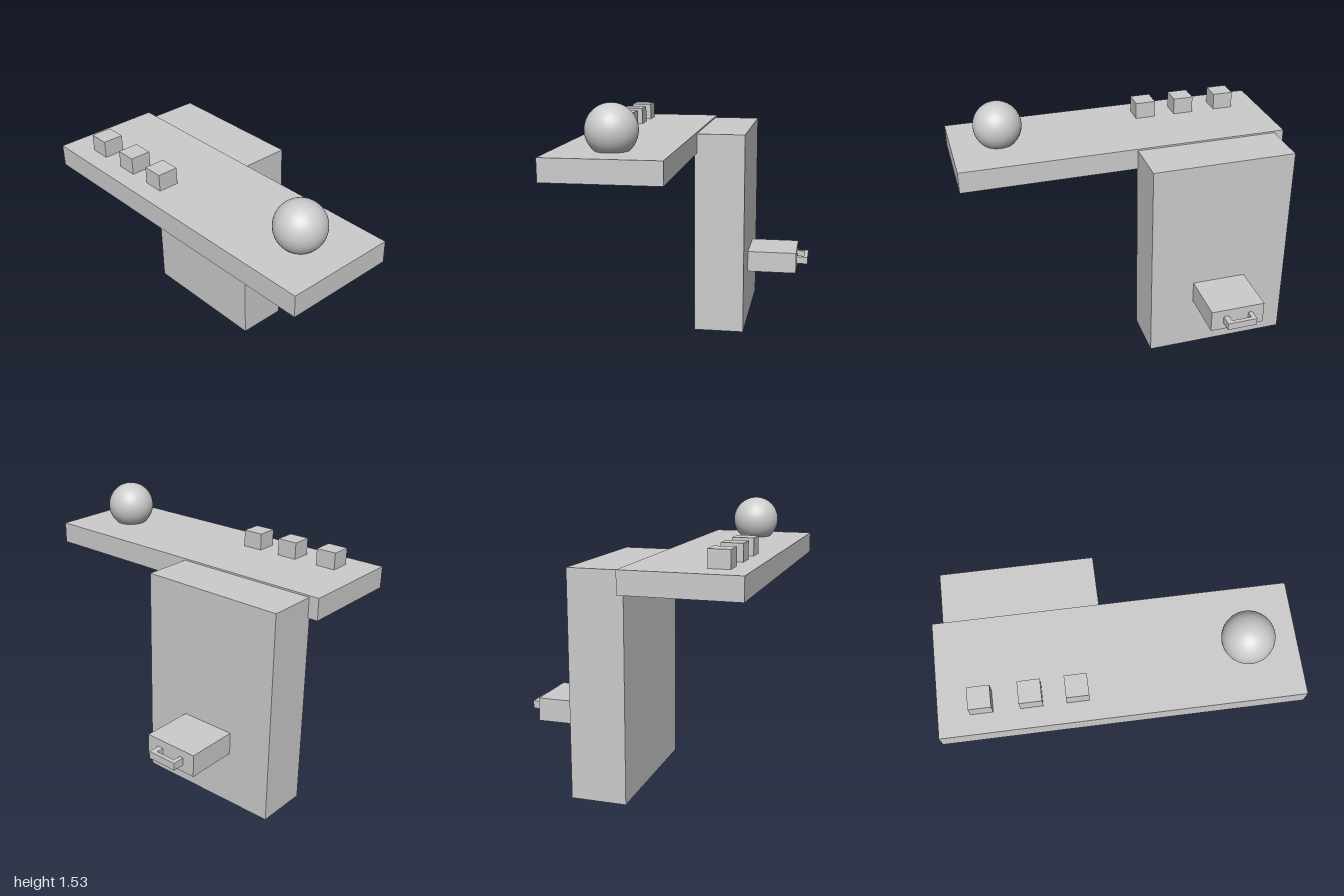
import * as THREE from 'three';

export function createModel() {
  const model = new THREE.Group();
  const material = new THREE.MeshStandardMaterial({ color: 0xcccccc });

  const add = (name, geometry, parent = model) => {
    const mesh = new THREE.Mesh(geometry, material);
    mesh.name = name;
    parent.add(mesh);
    return mesh;
  };

  // Box given by its extents along each axis
  const box = (name, [x0, x1], [y0, y1], [z0, z1], parent) =>
    add(name, new THREE.BoxGeometry(x1 - x0, y1 - y0, z1 - z0), parent)
      .position.set((x0 + x1) / 2, (y0 + y1) / 2, (z0 + z1) / 2);

  // Counter slab and the upright cabinet behind it
  box('counterTop', [-1, 1], [1.15, 1.28], [0.015, 0.673]);
  box('cabinet', [-0.94, -0.062], [0, 1.27], [-0.283, 0.03]);

  // Pulled-out drawer on the back of the cabinet
  const drawer = new THREE.Group();
  drawer.name = 'drawer';
  model.add(drawer);
  box('drawerBody', [-0.67, -0.335], [0.325, 0.46], [-0.6, -0.283], drawer);

  // U-shaped handle: two posts and a grip bar
  const handleY = [0.37, 0.415];
  box('handleGrip', [-0.596, -0.412], handleY, [-0.673, -0.648], drawer);
  for (const post of [[-0.596, -0.57], [-0.446, -0.412]]) {
    box('handlePost', post, handleY, [-0.648, -0.6], drawer);
  }

  // Row of small blocks on the counter
  for (const x of [-0.762, -0.492, -0.24]) {
    box('block', [x - 0.062, x + 0.062], [1.257, 1.381], [0.437, 0.561]);
  }

  // Ball resting slightly sunk into the counter
  add('ball', new THREE.SphereGeometry(0.145, 48, 32)).position.set(0.713, 1.39, 0.35);

  return model;
}
